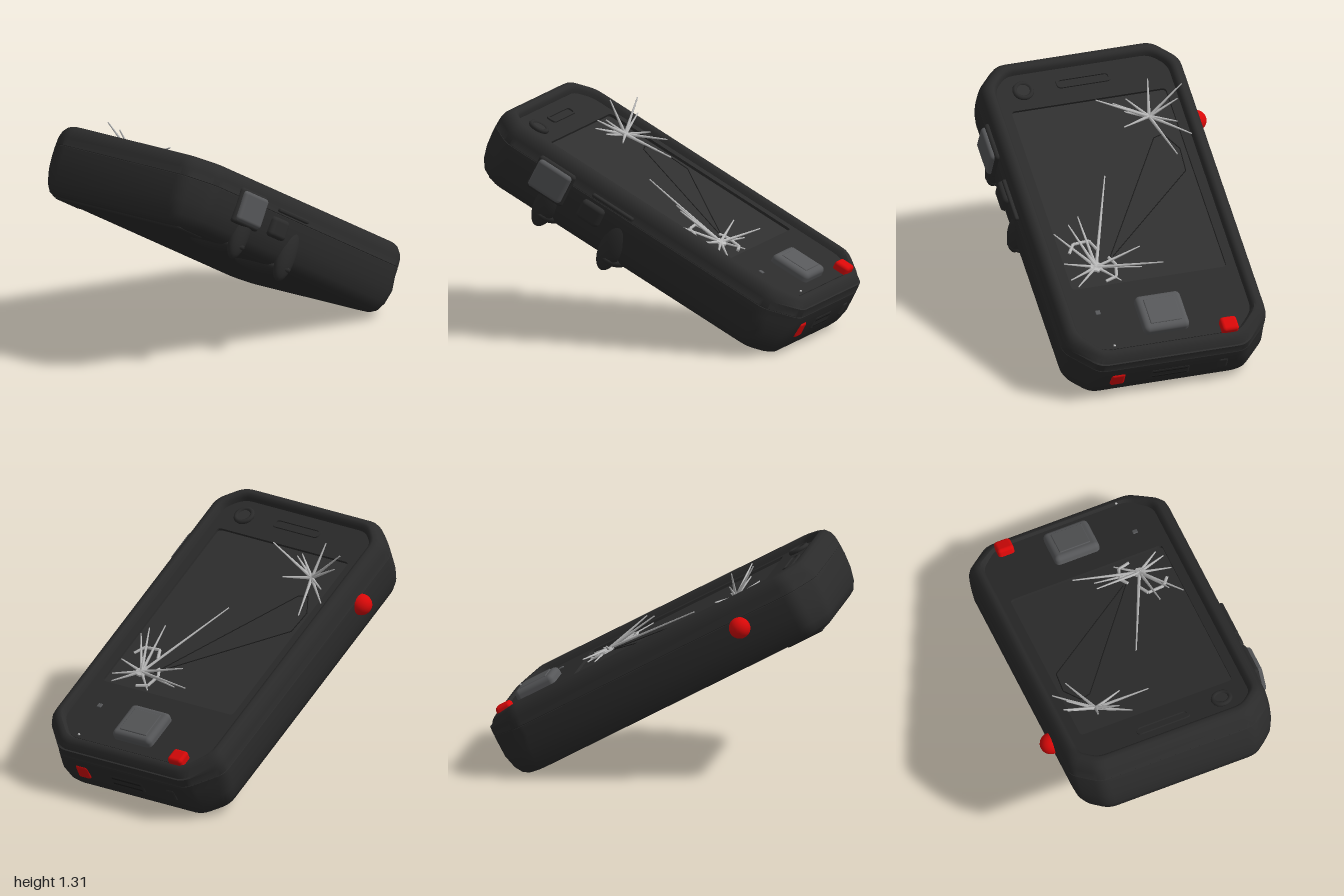
import * as THREE from 'three';
import { toCreasedNormals } from 'three/addons/utils/BufferGeometryUtils.js';
import { RoundedBoxGeometry } from 'three/addons/geometries/RoundedBoxGeometry.js';

const TILT = THREE.MathUtils.degToRad(28);
const MID = -0.31; // middle of the body along its length

const material = (name, color) => {
  const m = new THREE.MeshStandardMaterial({ color });
  m.name = name;
  return m;
};

// Octagonal outline with softened corners, as [x, z] pairs
function outline(inset, cut = 0.175) {
  const L = 1.072 - inset, W = 0.62 - inset;
  const c = cut - 0.586 * inset, d = 0.145 - 0.586 * inset; // lower and upper end corners
  const corners = [[L, -W + c], [L, W - c], [L - c, W], [-L + d, W],
    [-L, W - d], [-L, -W + d], [-L + d, -W], [L - c, -W]];
  const out = [];
  corners.forEach((p, i) => {
    const toward = (q) => {
      const len = Math.hypot(q[0] - p[0], q[1] - p[1]);
      return [p[0] + (q[0] - p[0]) * 0.05 / len, p[1] + (q[1] - p[1]) * 0.05 / len];
    };
    const a = toward(corners[(i + 7) % 8]), b = toward(corners[(i + 1) % 8]);
    for (let k = 0; k <= 4; k++) {
      const t = k / 4, s = 1 - t;
      out.push([0, 1].map((j) => s * s * a[j] + 2 * s * t * p[j] + t * t * b[j]));
    }
  });
  return out.map(([x, z]) => [x + MID, z + 0.008]);
}

// Stack of outlines, closed underneath; the rim dips at the lower end
function loft(profile) {
  const pos = [], idx = [];
  const n = outline(0).length;
  for (const [inset, y] of profile) {
    for (const [x, z] of outline(inset, y < 0.55 ? 0.15 : 0.175)) {
      pos.push(x, y > 0.72 ? y - Math.max(0, x - 0.55) * 0.2 : y, z);
    }
  }
  const centre = pos.length / 3;
  pos.push(MID, profile[0][1], 0.008);
  for (let i = 0; i < n; i++) {
    const j = (i + 1) % n;
    idx.push(centre, i, j);
    for (let r = 0; r < profile.length - 1; r++) {
      const a = r * n + i, b = r * n + j;
      idx.push(a, a + n, b, b, a + n, b + n);
    }
  }
  const g = new THREE.BufferGeometry();
  g.setAttribute('position', new THREE.Float32BufferAttribute(pos, 3));
  g.setIndex(idx);
  return toCreasedNormals(g, 0.75);
}

function roundRect(path, x0, x1, y0, y1, r) {
  path.moveTo(x0 + r, y0);
  path.lineTo(x1 - r, y0).quadraticCurveTo(x1, y0, x1, y0 + r);
  path.lineTo(x1, y1 - r).quadraticCurveTo(x1, y1, x1 - r, y1);
  path.lineTo(x0 + r, y1).quadraticCurveTo(x0, y1, x0, y1 - r);
  path.lineTo(x0, y0 + r).quadraticCurveTo(x0, y0, x0 + r, y0);
  return path;
}

export function createModel() {
  const rubber = material('black rubber', 0x2b2b2b);
  const glass = material('dark glass', 0x2f2f2f);
  const grey = material('button grey', 0x565759);
  const red = material('red', 0xd80808);
  const silver = material('crack silver', 0xbcbcbc);
  const black = material('groove black', 0x1c1c1c);

  const model = new THREE.Group();
  model.name = 'ruggedHandheld';
  const device = new THREE.Group();
  device.name = 'device';
  device.rotation.z = -TILT;
  model.add(device);

  const add = (name, geometry, mat, x = 0, y = 0, z = 0, parent = device) => {
    const mesh = new THREE.Mesh(geometry, mat);
    mesh.name = name;
    mesh.position.set(x, y, z);
    parent.add(mesh);
    return mesh;
  };
  const pad = (name, mat, size, at, r = 0.02) =>
    add(name, new RoundedBoxGeometry(...size, 4, r), mat, ...at);
  const dome = (name, mat, radii, at) =>
    add(name, new THREE.SphereGeometry(1, 24, 16).scale(...radii), mat, ...at);

  // Outer shell with a shallow seam and raised bumper rim
  add('shell', loft([[0.11, 0.349], [0.08, 0.353], [0.05, 0.372], [0.024, 0.42], [0.006, 0.5],
    [0, 0.58], [0, 0.634], [0.003, 0.637], [0, 0.64], [0.003, 0.69], [0.014, 0.728],
    [0.035, 0.755], [0.06, 0.766], [0.076, 0.762], [0.088, 0.745], [0.096, 0.715]]), rubber);
  pad('batteryCap', rubber, [0.24, 0.05, 0.96], [-1.155, 0.363, 0.008], 0.018);

  // Front plate with the screen opening
  const plate = new THREE.Shape(outline(0.09).map(([x, z]) => new THREE.Vector2(x, -z)));
  plate.holes.push(roundRect(new THREE.Path(), -1.045, 0.228, -0.478, 0.462, 0.025));
  const plateGeo = new THREE.ExtrudeGeometry(plate, { depth: 0.032, bevelEnabled: false, curveSegments: 4 });
  add('facePlate', plateGeo.rotateX(-Math.PI / 2), rubber, 0, 0.69, 0);
  add('screen', new THREE.BoxGeometry(1.3, 0.02, 0.96), glass, -0.4125, 0.696, 0.006);

  // Face controls
  pad('homeButton', grey, [0.25, 0.08, 0.275], [0.487, 0.735, 0.012], 0.03);
  pad('homeButtonDish', grey, [0.17, 0.012, 0.19], [0.487, 0.774, 0.012], 0.005);
  pad('redFaceButton', red, [0.095, 0.08, 0.1], [0.641, 0.732, -0.352], 0.02);
  const slotShape = roundRect(new THREE.Shape(), -0.032, 0.032, -0.165, 0.165, 0.03);
  slotShape.holes.push(roundRect(new THREE.Path(), -0.02, 0.02, -0.15, 0.15, 0.019));
  const slotGeo = new THREE.ExtrudeGeometry(slotShape, { depth: 0.01, bevelEnabled: false });
  add('speakerRim', slotGeo.rotateX(-Math.PI / 2), rubber, -1.183, 0.721, 0);
  add('lensRim', new THREE.TorusGeometry(0.05, 0.014, 8, 24).rotateX(Math.PI / 2), rubber, -1.17, 0.732, 0.37);
  add('lens', new THREE.CylinderGeometry(0.045, 0.045, 0.03, 24), glass, -1.17, 0.722, 0.37);

  // Chips knocked out of the face
  pad('chip', grey, [0.03, 0.012, 0.03], [0.408, 0.722, 0.375], 0.005);
  pad('chip', silver, [0.012, 0.01, 0.014], [0.662, 0.745, 0.35], 0.004);

  // Lower end: red key, connector and plug cover
  pad('redEndButton', red, [0.05, 0.098, 0.09], [0.744, 0.535, 0.327], 0.018);
  pad('connectorFrame', rubber, [0.03, 0.085, 0.24], [0.748, 0.533, 0.01], 0.012);
  for (const s of [-1, 1]) {
    pad('connectorSlot', black, [0.008, 0.014, 0.21], [0.761, 0.533 + s * 0.02, 0.01], 0.003);
  }
  pad('plugCover', rubber, [0.036, 0.09, 0.065], [0.749, 0.54, -0.31], 0.016);

  // Side controls
  pad('sideFrame', rubber, [0.25, 0.21, 0.05], [-0.89, 0.59, 0.624]);
  pad('sideButton', grey, [0.225, 0.18, 0.06], [-0.89, 0.592, 0.642], 0.022);
  pad('smallSideButton', rubber, [0.15, 0.12, 0.06], [-0.59, 0.556, 0.63], 0.025);
  pad('sideRail', rubber, [0.285, 0.024, 0.04], [-0.488, 0.66, 0.628], 0.01);
  dome('redSideKnob', red, [0.063, 0.063, 0.066], [-0.878, 0.587, -0.614]);

  // Finger grips wrapping from the underside onto the side
  for (const [x, y] of [[-0.85, 0.372], [-0.385, 0.36]]) {
    dome('fingerGrip', rubber, [0.1, 0.055, 0.2], [x, y, 0.44]);
    dome('gripRib', rubber, [0.075, 0.17, 0.05], [x - 0.01, y + 0.09, 0.592]);
  }

  // Slender rod or spike between two points
  const rod = (name, a, b, r0, r1, mat, parent) => {
    const d = b.clone().sub(a);
    const mesh = add(name, new THREE.CylinderGeometry(r1, r0, d.length(), 5), mat, 0, 0, 0, parent);
    mesh.position.copy(a).addScaledVector(d, 0.5);
    mesh.quaternion.setFromUnitVectors(new THREE.Vector3(0, 1, 0), d.normalize());
  };
  const burst = (name, c, tips) => {
    const g = new THREE.Group();
    g.name = name;
    model.add(g);
    const a = new THREE.Vector3(...c);
    tips.forEach((t) => rod('crackSplinter', a, new THREE.Vector3(...t), 0.011, 0.004, silver, g));
    return g;
  };
  // Point on the glass from its height and depth
  const onGlass = (y, z, lift = 0.709) => [(lift - Math.cos(TILT) * y) / Math.sin(TILT), y, z];

  // Upper impact, with splinters standing off the glass
  burst('upperImpact', [-0.43, 1.045, -0.31], [[-0.475, 1.18, 0], [-0.556, 1.07, -0.08],
    [-0.535, 1.235, -0.335], [-0.435, 1.225, -0.51], [-0.25, 0.99, -0.51], [-0.42, 1.14, -0.48],
    [-0.18, 0.91, -0.4], [-0.5, 1.145, -0.19], [-0.375, 1.03, -0.14], [-0.54, 1.105, -0.125],
    [-0.33, 1.04, -0.45]]);

  // Lower impact, with a broken web of short cracks
  const lower = burst('lowerImpact', onGlass(0.585, 0.29), [onGlass(0.87, 0.06), onGlass(0.71, 0.47),
    onGlass(0.53, 0.43), [0.5, 0.6, -0.09], [0.38, 0.66, 0.015], onGlass(0.564, 0.025),
    onGlass(0.53, 0.17), [0.145, 0.785, 0.315], [0.2, 0.77, 0.39], onGlass(0.61, 0.47),
    onGlass(0.555, 0.46)]);
  const webs = [[[0.64, 0.42], [0.668, 0.38], [0.672, 0.28], [0.64, 0.25]],
    [[0.61, 0.2], [0.585, 0.17], [0.545, 0.19], [0.535, 0.26]]];
  for (const web of webs) {
    const pts = web.map(([y, z]) => new THREE.Vector3(...onGlass(y, z)));
    for (let i = 0; i < 3; i++) rod('crackWeb', pts[i], pts[i + 1], 0.01, 0.01, silver, lower);
  }
  const core = add('impactCore', new THREE.CylinderGeometry(0.035, 0.04, 0.016, 7), silver,
    ...onGlass(0.585, 0.29), lower);
  core.rotation.z = -TILT;

  // Long dark fracture between the impacts
  const line = [[0.593, 0.21], [0.967, -0.3], [0.975, -0.36], [0.92, -0.43], [0.847, -0.42], [0.61, 0.17]]
    .map(([y, z]) => new THREE.Vector3(...onGlass(y, z, 0.7075)));
  for (let i = 0; i < line.length - 1; i++) rod('fracture', line[i], line[i + 1], 0.003, 0.003, black, model);
  return model;
}
